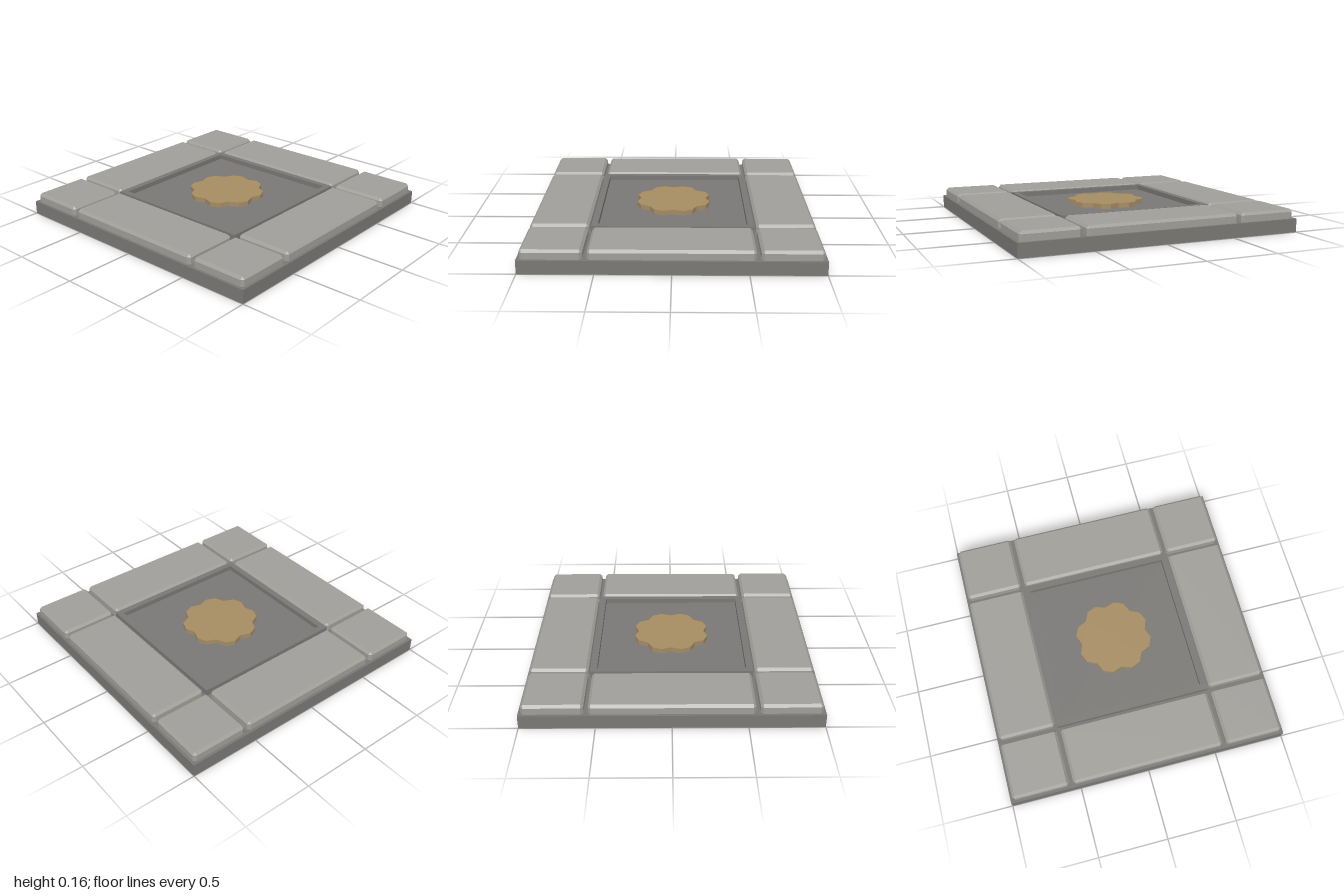
import * as THREE from 'three';
import { ConvexGeometry } from 'three/addons/geometries/ConvexGeometry.js';

const material = (name, color) => {
  const m = new THREE.MeshStandardMaterial({ color });
  m.name = name;
  return m;
};

// Box with every edge and corner cut flat by b
function chamferedBox(w, h, d, b) {
  const pts = [];
  for (const sx of [-1, 1]) for (const sy of [-1, 1]) for (const sz of [-1, 1]) {
    const x = w / 2, y = h / 2, z = d / 2;
    pts.push(
      new THREE.Vector3(sx * x, sy * (y - b), sz * (z - b)),
      new THREE.Vector3(sx * (x - b), sy * y, sz * (z - b)),
      new THREE.Vector3(sx * (x - b), sy * (y - b), sz * z));
  }
  return new ConvexGeometry(pts);
}

export function createModel() {
  const model = new THREE.Group();
  model.name = 'floorTile';
  const darkStone = material('darkStone', 0x7a7875);
  const lightStone = material('lightStone', 0xa09e99);
  const bronze = material('bronze', 0xa58c62);

  const add = (name, geometry, mat, x, y, z) => {
    const mesh = new THREE.Mesh(geometry, mat);
    mesh.name = name;
    mesh.position.set(x, y, z);
    model.add(mesh);
    return mesh;
  };

  // Base slab
  add('baseSlab', new THREE.BoxGeometry(2, 0.095, 2), darkStone, 0, 0.0475, 0);

  // Ring of eight paving stones, set slightly into the slab
  const bevel = 0.018, top = 0.16, bottom = 0.06;
  const short = 0.408, long = 1.09, offset = 0.778;
  for (const i of [-1, 0, 1]) for (const k of [-1, 0, 1]) {
    if (i === 0 && k === 0) continue;
    const geometry = chamferedBox(i ? short : long, top - bottom, k ? short : long, bevel);
    add(i && k ? 'cornerStone' : 'edgeStone', geometry, lightStone,
      i * offset, (top + bottom) / 2, k * offset);
  }

  // Sunken centre panel
  add('centrePanel', new THREE.BoxGeometry(1.04, 0.04, 1.04), darkStone, 0, 0.1, 0);

  // Raised frame around the panel
  const outer = 0.56, inner = 0.515, frameY = 0.131, frameH = 0.048;
  const bar = outer - inner, mid = (outer + inner) / 2;
  for (const s of [-1, 1]) {
    add('frameBar', new THREE.BoxGeometry(outer * 2, frameH, bar), darkStone, 0, frameY, s * mid);
    add('frameBar', new THREE.BoxGeometry(bar, frameH, inner * 2), darkStone, s * mid, frameY, 0);
  }

  // Medallion with eight faceted lobes
  const outline = [];
  for (let n = 0; n < 24; n++) {
    const r = n % 3 === 0 ? 0.24 : 0.275;
    const a = (n * Math.PI) / 12;
    outline.push(new THREE.Vector2(r * Math.cos(a), r * Math.sin(a)));
  }
  const medallion = new THREE.ExtrudeGeometry(new THREE.Shape(outline),
    { depth: 0.04, bevelEnabled: false });
  medallion.rotateX(-Math.PI / 2);
  add('medallion', medallion, bronze, 0, 0.115, 0);

  return model;
}
